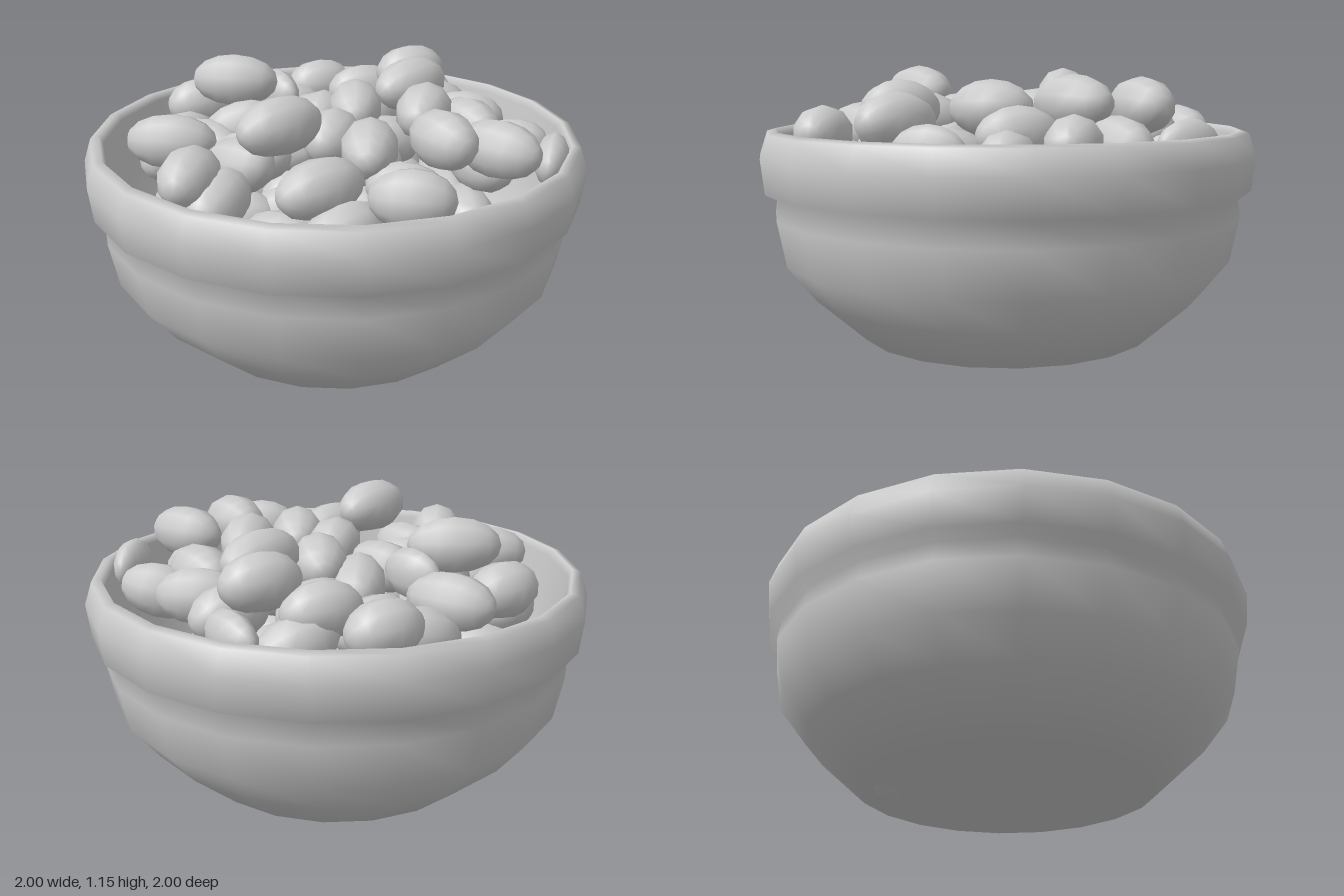
import * as THREE from 'three';

const material = new THREE.MeshStandardMaterial({ color: 0xcccccc });

// Closed, smoothly shaded wall: shallow cone base, outside going up, over the lip, inside going down
function makeBowl() {
  const profile = [
    [0, 0], [0.6, 0.06], [0.8, 0.24], [0.91, 0.38], [0.945, 0.56], [0.935, 0.64],
    [0.985, 0.665], [1, 0.8], [0.97, 0.89], [0.935, 0.9], [0.92, 0.87],
    [0.9, 0.64], [0.865, 0.41], [0.76, 0.27], [0.57, 0.11], [0, 0.06],
  ].map(([r, y]) => new THREE.Vector2(r, y));
  const bowl = new THREE.Mesh(new THREE.LatheGeometry(profile, 20), material);
  bowl.name = 'bowl';
  return bowl;
}

// Unit bean with its poles along x
const beanGeometry = new THREE.SphereGeometry(1, 10, 8).rotateZ(Math.PI / 2);

function makeBean(name, [x, y, z, turn, halfLength], height, width, pitch = 0) {
  const bean = new THREE.Mesh(beanGeometry, material);
  bean.name = name;
  bean.position.set(x, y, z);
  bean.rotation.set(0, THREE.MathUtils.degToRad(turn), pitch, 'YXZ');
  bean.scale.set(halfLength, height, width);
  return bean;
}

// Each bean: x, y, z, turn about the vertical in degrees, half length
const topBeans = [
  [-0.58, 0.88, -0.42, 75, 0.155], [-0.33, 0.9, -0.46, 70, 0.16], [-0.16, 1.0, -0.59, 75, 0.16],
  [0.02, 1.01, -0.41, 92, 0.185], [0.32, 0.9, -0.44, -12, 0.165], [0.27, 0.99, -0.23, -58, 0.165],
  [-0.04, 0.95, -0.15, -42, 0.165], [0.55, 0.99, -0.04, -10, 0.155], [0.68, 0.95, -0.2, 8, 0.17],
  [0.7, 0.89, 0.27, 38, 0.155], [0.42, 0.89, 0.44, 88, 0.18], [0.15, 1.04, 0.4, 90, 0.18],
  [0.34, 0.94, 0.13, -45, 0.17], [0.13, 0.93, 0.13, -62, 0.15], [-0.46, 1.03, 0.15, 40, 0.18],
  [-0.67, 0.89, 0.18, 78, 0.155], [-0.6, 0.89, -0.06, 8, 0.175], [-0.33, 0.89, 0.56, 42, 0.18],
  [0.03, 0.89, 0.72, -55, 0.16],
];
const middleBeans = [
  [0.18, 0.87, -0.58, 35], [0.45, 0.82, -0.54, 35], [-0.02, 0.86, -0.61, 80],
  [-0.32, 0.8, -0.58, 70], [0.52, 0.82, -0.3, -15], [-0.58, 0.8, -0.22, 65],
  [-0.39, 0.8, -0.25, 80], [-0.18, 0.84, -0.34, 85], [-0.2, 0.88, -0.11, -55],
  [0.22, 0.84, 0.04, 5], [0.53, 0.82, 0.11, 40], [-0.08, 0.86, 0.18, 0],
  [-0.31, 0.88, 0.23, 55], [-0.6, 0.78, 0.32, -75], [-0.32, 0.82, 0.37, 10],
  [-0.09, 0.84, 0.36, 40], [-0.01, 0.86, 0.47, 5], [-0.5, 0.78, 0.47, -60],
  [-0.22, 0.76, 0.56, -55], [-0.1, 0.76, 0.57, -20], [0.54, 0.76, 0.44, 85],
  [0.11, 0.8, 0.66, -65], [0.08, 0.82, -0.2, 70], [0.3, 0.72, 0.35, 20],
];
const edgeBeans = [[-0.21, 0.86, -0.78, -10, 0.14], [0.73, 0.86, -0.46, -60, 0.14], [-0.41, 0.95, -0.04, -5, 0.13]];

export function createModel() {
  const model = new THREE.Group();
  model.add(makeBowl());

  const pile = new THREE.Group();
  pile.name = 'beanPile';
  topBeans.forEach((b) => pile.add(makeBean('topBean', b, 0.11, 0.11)));
  middleBeans.forEach((b, i) => pile.add(makeBean('middleBean', [...b, 0.165], 0.11, 0.11, 0.25 * Math.sin(i * 1.7))));
  // Thin beans standing on edge
  edgeBeans.forEach((b) => pile.add(makeBean('edgeBean', b, 0.1, 0.065)));
  // One bean pressed through the floor
  pile.add(makeBean('floorBean', [-0.37, 0.14, -0.26, 30, 0.17], 0.11, 0.11));
  // Layers underneath, spread evenly in spirals that narrow towards the floor
  for (const [y, radius, count] of [[0.64, 0.62, 26], [0.46, 0.56, 22], [0.28, 0.46, 16]]) {
    for (let i = 0; i < count; i++) {
      const a = i * 2.4 + y * 9, r = radius * Math.sqrt((i + 0.5) / count);
      pile.add(makeBean('lowerBean', [r * Math.cos(a), y, r * Math.sin(a), i * 67, 0.17], 0.11, 0.11));
    }
  }
  model.add(pile);
  return model;
}
